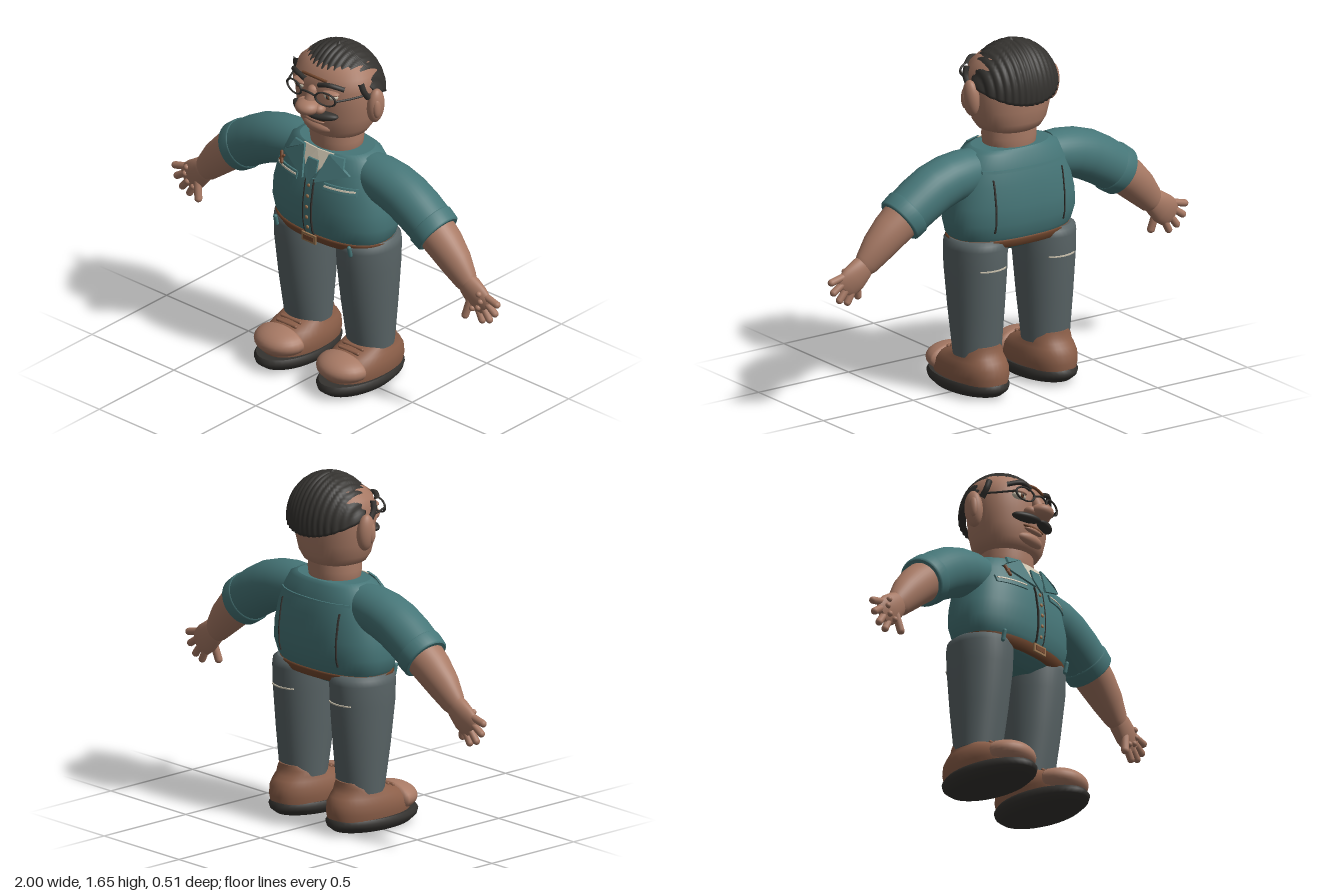
import * as THREE from 'three';

const paint = (name, color) => Object.assign(new THREE.MeshStandardMaterial({ color }), { name });

// Closed body from elliptical rings; row = [x, y, z, radiusA, radiusZ, tilt]
function loft(rows, p = 2, n = 40) {
  const pos = [], idx = [];
  const ring = ([x, y, z, a, b, tilt = 0]) => {
    for (let i = 0; i < n; i++) {
      const t = (i / n) * Math.PI * 2, c = Math.cos(t), s = Math.sin(t);
      const u = a * Math.sign(c) * Math.abs(c) ** (2 / p), v = b * Math.sign(s) * Math.abs(s) ** (2 / p);
      pos.push(x + u * Math.cos(tilt), y + u * Math.sin(tilt), z + v);
    }
  };
  rows.forEach(ring);
  for (let j = 0; j < rows.length - 1; j++) for (let i = 0; i < n; i++) {
    const a = j * n + i, b = j * n + (i + 1) % n;
    idx.push(a, a + n, b, b, a + n, b + n);
  }
  [rows[0], rows[rows.length - 1]].forEach((r, end) => {
    const base = pos.length / 3;
    ring(r);
    pos.push(r[0], r[1], r[2]);
    for (let i = 0; i < n; i++) {
      const k = base + (i + 1) % n;
      idx.push(base + n, end ? k : base + i, end ? base + i : k);
    }
  });
  const g = new THREE.BufferGeometry();
  g.setAttribute('position', new THREE.Float32BufferAttribute(pos, 3));
  g.setIndex(idx);
  g.computeVertexNormals();
  return g;
}

// z of a lofted body's front (side 1) or back (side -1) at x, y
function surfaceZ(rows, p, x, y, side) {
  let j = 0;
  while (j < rows.length - 2 && rows[j + 1][1] < y) j++;
  const A = rows[j], B = rows[j + 1], t = THREE.MathUtils.clamp((y - A[1]) / (B[1] - A[1]), 0, 1);
  const [cx, , cz, a, b] = A.map((v, i) => v + (B[i] - v) * t);
  return cz + side * b * Math.max(0, 1 - Math.abs((x - cx) / a) ** p) ** (1 / p);
}

// Lays a flat geometry on a lofted body
function drape(geo, rows, p, side = 1, lift = 0.004) {
  const q = geo.attributes.position;
  for (let i = 0; i < q.count; i++)
    q.setZ(i, q.getZ(i) + surfaceZ(rows, p, q.getX(i), q.getY(i), side) + side * lift);
  geo.computeVertexNormals();
  return geo;
}
const strip = (x, y, w, h, d = 0.008) => new THREE.BoxGeometry(w, h, d, 10, 10, 1).translate(x, y, 0);
const ball = (x, y, z, a, b = a, c = a, ry = 0, rz = 0) =>
  new THREE.SphereGeometry(1, 28, 18).scale(a, b, c).rotateZ(rz).rotateY(ry).translate(x, y, z);

function rod(a, b, r) {
  const A = new THREE.Vector3(...a), B = new THREE.Vector3(...b), d = B.clone().sub(A);
  const g = new THREE.CapsuleGeometry(r, d.length(), 5, 12);
  g.applyQuaternion(new THREE.Quaternion().setFromUnitVectors(new THREE.Vector3(0, 1, 0), d.normalize()));
  const m = A.add(B).multiplyScalar(0.5);
  return g.translate(m.x, m.y, m.z);
}
const wire = (pts, r) => new THREE.TubeGeometry(
  new THREE.CatmullRomCurve3(pts.map(v => new THREE.Vector3(...v))), 24, r, 8);

function mirrored(geo) {
  const g = geo.clone().scale(-1, 1, 1);
  if (!g.index) g.setIndex([...Array(g.attributes.position.count).keys()]);
  const a = g.index.array;
  for (let i = 0; i < a.length; i += 3) [a[i], a[i + 1]] = [a[i + 1], a[i]];
  return g;
}

// Ribbed cap of hair with a hairline that drops towards the back
function hairCap() {
  const n = 220, m = 26, pos = [], idx = [];
  const line = [[-1, 1.375], [-0.6, 1.415], [0, 1.46], [0.22, 1.51], [1, 1.54]];
  for (let j = 0; j <= m + 1; j++) for (let i = 0; i < n; i++) {
    const f = (i / n) * Math.PI * 2, c = Math.cos(f);
    let k = 0;
    while (k < 3 && line[k + 1][0] < c) k++;
    const low = THREE.MathUtils.mapLinear(c, line[k][0], line[k + 1][0], line[k][1], line[k + 1][1]);
    const th = Math.acos((low - 1.42) / 0.215) * Math.min(j, m) / m;
    const x = Math.sin(th) * Math.sin(f);
    const s = j > m ? 0.86 : 1 + 0.035 * Math.abs(Math.sin(x * 24));
    pos.push(0.216 * x * s, 1.42 + 0.215 * Math.cos(th) * (j > m ? 1 : s), -0.067 + 0.182 * Math.sin(th) * c * s);
  }
  for (let j = 0; j <= m; j++) for (let i = 0; i < n; i++) {
    const a = j * n + i, b = j * n + (i + 1) % n;
    idx.push(a + n, b + n, a, a, b + n, b);
  }
  const g = new THREE.BufferGeometry();
  g.setAttribute('position', new THREE.Float32BufferAttribute(pos, 3));
  g.setIndex(idx);
  g.computeVertexNormals();
  return g;
}

export function createModel() {
  const model = new THREE.Group();
  const skin = paint('skin', 0xa87a65), teal = paint('teal shirt', 0x467678), grey = paint('grey trousers', 0x596466),
    shoe = paint('brown leather', 0x8c5f49), belt = paint('belt brown', 0x75492f), black = paint('black hair', 0x34322f),
    sole = paint('dark sole', 0x353330), cream = paint('cream', 0xcdc4b0), brass = paint('brass', 0x9a7550);
  const add = (name, mat, geo) => {
    const m = new THREE.Mesh(geo, mat);
    m.name = name;
    model.add(m);
  };
  const pair = (name, mat, geo) => { add(name + 'Left', mat, geo); add(name + 'Right', mat, mirrored(geo)); };

  // Torso, belt and neck
  const P = 2.4;
  const torso = [[0.66, 0.04, -0.1, 0.13], [0.69, 0.09, -0.16, 0.22], [0.72, 0.12, -0.195, 0.285], [0.76, 0.14, -0.215, 0.315],
    [0.82, 0.15, -0.232, 0.33], [0.9, 0.15, -0.235, 0.325], [1, 0.135, -0.225, 0.3], [1.08, 0.108, -0.207, 0.272],
    [1.14, 0.085, -0.185, 0.235], [1.155, 0.072, -0.17, 0.19]]
    .map(([y, f, b, w]) => [0, y, (f + b) / 2, w, (f - b) / 2]);
  add('shirt', teal, loft(torso, P, 56));
  add('belt', belt, loft([[0, 0.7, -0.037, 0.272, 0.152], [0, 0.705, -0.037, 0.29, 0.164],
    [0, 0.738, -0.037, 0.313, 0.179], [0, 0.744, -0.037, 0.3, 0.17]], P, 56));
  add('buckle', brass, strip(0, 0.721, 0.085, 0.042, 0.009).translate(0, 0, 0.143));
  add('buckleCentre', belt, strip(0, 0.721, 0.06, 0.022, 0.009).translate(0, 0, 0.146));
  pair('beltLoop', teal, rod([0.225, 0.7, 0.112], [0.225, 0.74, 0.122], 0.01));
  add('neck', skin, loft([[0, 1.1, -0.045, 0.11, 0.105], [0, 1.15, -0.045, 0.125, 0.112],
    [0, 1.19, -0.045, 0.13, 0.117], [0, 1.25, -0.045, 0.125, 0.115]]));

  // Shirt front: undershirt, tie, lapels, placket, pockets
  const plate = (pts, depth, lift) => drape(new THREE.ExtrudeGeometry(
    new THREE.Shape(pts.map(v => new THREE.Vector2(...v))), { depth, bevelEnabled: false }), torso, P, 1, lift);
  add('undershirt', cream, plate([[-0.09, 1.155], [-0.045, 1.08], [0, 1.02], [0.045, 1.08], [0.09, 1.155], [0, 1.155]], 0.008, 0.006));
  add('tie', teal, plate([[-0.03, 1.115], [-0.035, 1.06], [0, 1.0], [0.035, 1.06], [0.03, 1.115]], 0.009, 0.014));
  pair('lapel', teal, plate([[0.075, 1.155], [0.035, 1.02], [0.2, 1.085], [0.165, 1.11], [0.15, 1.15]], 0.012, 0.014));
  add('placket', teal, drape(strip(0, 0.88, 0.05, 0.29), torso, P));
  pair('placketEdge', black, drape(strip(0.024, 0.88, 0.006, 0.29), torso, P, 1, 0.006));
  for (let i = 0; i < 5; i++) {
    const y = 0.78 + i * 0.053;
    add('button', brass, ball(0, y, surfaceZ(torso, P, 0, y, 1) + 0.01, 0.009, 0.009, 0.005));
  }
  pair('pocketFlap', teal, drape(strip(0.16, 1.01, 0.16, 0.035), torso, P, 1, 0.006));
  pair('pocketStitch', cream, drape(strip(0.16, 1.015, 0.15, 0.007), torso, P, 1, 0.01));
  add('pocketPen', belt, rod([-0.2, 1.075, 0.105], [-0.185, 1.035, 0.122], 0.008));
  add('pocketPenClip', belt, rod([-0.18, 1.065, 0.112], [-0.2, 1.045, 0.118], 0.006));
  // Shirt back: yoke and pleats
  add('yokeSeam', teal, drape(strip(0, 1.07, 0.46, 0.012), torso, P, -1));
  pair('backPleat', black, drape(strip(0.19, 0.91, 0.006, 0.25), torso, P, -1, 0.002));

  // Arms: sleeve, cuff, forearm, hand
  const arm = rows => loft(rows.map(([x, y, z, a, b, deg]) => [x, y, z, a, b, (deg - 90) * Math.PI / 180]));
  pair('sleeve', teal, arm([[0.2, 1.055, -0.05, 0.1, 0.1, -8], [0.26, 1.048, -0.05, 0.11, 0.108, -10],
    [0.34, 1.035, -0.05, 0.114, 0.112, -16], [0.42, 1.008, -0.05, 0.117, 0.112, -25], [0.5, 0.965, -0.05, 0.115, 0.112, -31], [0.61, 0.893, -0.05, 0.109, 0.108, -34]]));
  pair('cuff', teal, arm([[0.56, 0.925, -0.05, 0.112, 0.108, -33], [0.565, 0.922, -0.05, 0.118, 0.115, -33],
    [0.61, 0.891, -0.05, 0.115, 0.112, -34], [0.616, 0.887, -0.05, 0.107, 0.104, -34]]));
  pair('forearm', skin, arm([[0.58, 0.912, -0.05, 0.095, 0.095, -36], [0.66, 0.85, -0.048, 0.09, 0.085, -39],
    [0.73, 0.785, -0.045, 0.08, 0.07, -42], [0.79, 0.72, -0.042, 0.063, 0.048, -42], [0.81, 0.7, -0.04, 0.05, 0.038, -42]]));
  pair('palm', skin, arm([[0.78, 0.73, -0.04, 0.045, 0.035, -40], [0.815, 0.7, -0.04, 0.06, 0.042, -40],
    [0.86, 0.66, -0.04, 0.07, 0.036, -40], [0.895, 0.632, -0.04, 0.066, 0.026, -40], [0.915, 0.615, -0.04, 0.045, 0.014, -40]]));
  [[0.91, 0.68, 0.982, 0.662], [0.92, 0.645, 0.97, 0.612], [0.905, 0.61, 0.937, 0.57], [0.87, 0.595, 0.893, 0.553]]
    .forEach(([a, b, c, d]) => {
      pair('finger', skin, rod([a, b, -0.04], [c, d, -0.038], 0.017));
      pair('knuckle', skin, ball(a - 0.018, b + 0.012, -0.015, 0.014));
    });
  pair('thumb', skin, rod([0.835, 0.65, -0.025], [0.815, 0.562, -0.01], 0.018));

  // Legs and shoes
  const leg = [[0.19, 0.19, -0.062, 0.113, 0.105], [0.19, 0.4, -0.055, 0.127, 0.135], [0.19, 0.6, -0.05, 0.139, 0.156],
    [0.19, 0.7, -0.05, 0.14, 0.16], [0.19, 0.728, -0.05, 0.137, 0.156], [0.19, 0.742, -0.05, 0.12, 0.135]];
  pair('trouserLeg', grey, loft(leg));
  pair('backPocketStitch', cream, drape(strip(0.19, 0.61, 0.14, 0.006), leg, 2, -1, 0.002));
  pair('sole', sole, loft([[0.19, 0, 0.007, 0.08, 0.15], [0.19, 0.012, 0.007, 0.12, 0.215], [0.19, 0.035, 0.007, 0.141, 0.245],
    [0.19, 0.055, 0.007, 0.145, 0.252], [0.19, 0.072, 0.007, 0.136, 0.24]]));
  pair('shoe', shoe, loft([[0.06, 0.2, -0.23, 0.125], [0.1, 0.21, -0.237, 0.134], [0.14, 0.19, -0.233, 0.13], [0.17, 0.14, -0.215, 0.118],
    [0.19, 0.085, -0.195, 0.108], [0.215, 0.02, -0.183, 0.1], [0.24, -0.07, -0.18, 0.07]]
    .map(([y, f, b, w]) => [0.19, y, (f + b) / 2, w, (f - b) / 2]), 2.2));
  const toe = ball(0, 0, 0, 0.132, 0.066, 0.12), tp = toe.attributes.position;
  for (let i = 0; i < tp.count; i++) if (tp.getZ(i) < 0) tp.setZ(i, tp.getZ(i) * 0.3);
  toe.computeVertexNormals();
  pair('toeCap', skin, toe.translate(0.19, 0.124, 0.117));
  [[0.198, 0.055], [0.188, 0.085]].forEach(([y, z]) => pair('lace', shoe, rod([0.135, y, z], [0.245, y, z], 0.008)));

  // Head, ears and hair
  add('head', skin, loft([[0, 1.215, -0.045, 0.1, 0.1], [0, 1.235, -0.045, 0.15, 0.132], [0, 1.27, -0.045, 0.175, 0.148],
    [0, 1.33, -0.045, 0.192, 0.158], [0, 1.4, -0.045, 0.202, 0.162], [0, 1.48, -0.045, 0.206, 0.165], [0, 1.54, -0.05, 0.192, 0.152],
    [0, 1.58, -0.06, 0.15, 0.12], [0, 1.605, -0.06, 0.08, 0.07], [0, 1.61, -0.06, 0.001, 0.001]], 2.1, 48));
  pair('ear', skin, ball(0.222, 1.4, -0.06, 0.036, 0.086, 0.045, 0, -0.08));
  pair('innerEar', skin, ball(0.243, 1.4, -0.045, 0.018, 0.05, 0.022));
  add('hair', black, hairCap());
  add('hairPeak', black, new THREE.ConeGeometry(0.04, 0.04, 16).translate(0, 1.631, -0.06));
  pair('sideburn', black, wire([[0.195, 1.53, 0.01], [0.207, 1.49, 0.003], [0.21, 1.45, -0.022]], 0.014));

  // Face
  add('nose', skin, ball(0, 1.4, 0.153, 0.058, 0.036, 0.057));
  add('noseBridge', skin, rod([0, 1.47, 0.118], [0, 1.41, 0.145], 0.026));
  pair('nostril', skin, ball(0.05, 1.395, 0.128, 0.028, 0.024, 0.03));
  pair('moustache', black, ball(0.065, 1.362, 0.12, 0.073, 0.021, 0.03, 0.4, 0.04));
  add('mouth', belt, ball(0, 1.33, 0.108, 0.07, 0.011, 0.014));
  add('lowerLip', skin, ball(0, 1.318, 0.108, 0.06, 0.013, 0.018));
  add('chin', skin, ball(0, 1.28, 0.078, 0.085, 0.034, 0.042));
  pair('eye', cream, ball(0.095, 1.465, 0.1, 0.036, 0.019, 0.02, 0.25));
  pair('iris', belt, ball(0.092, 1.465, 0.117, 0.012, 0.013, 0.007));
  pair('pupil', black, ball(0.092, 1.465, 0.122, 0.006, 0.007, 0.004));
  pair('eyelid', skin, ball(0.095, 1.48, 0.1, 0.042, 0.012, 0.024, 0.25));
  pair('eyebrow', black, wire([[0.04, 1.512, 0.122], [0.095, 1.526, 0.115], [0.155, 1.508, 0.075]], 0.012));
  add('browCrease', belt, wire([[-0.075, 1.53, 0.102], [0, 1.537, 0.112], [0.075, 1.53, 0.102]], 0.007));
  // Glasses
  pair('glassesRim', black, new THREE.TorusGeometry(1, 0.11, 8, 36).scale(0.053, 0.032, 0.045).rotateY(0.2).translate(0.095, 1.463, 0.138));
  add('glassesBridge', black, wire([[-0.043, 1.468, 0.148], [0, 1.478, 0.156], [0.043, 1.468, 0.148]], 0.005));
  pair('glassesArm', black, wire([[0.147, 1.465, 0.128], [0.18, 1.465, 0.06], [0.208, 1.467, -0.01], [0.214, 1.46, -0.05]], 0.005));
  return model;
}
